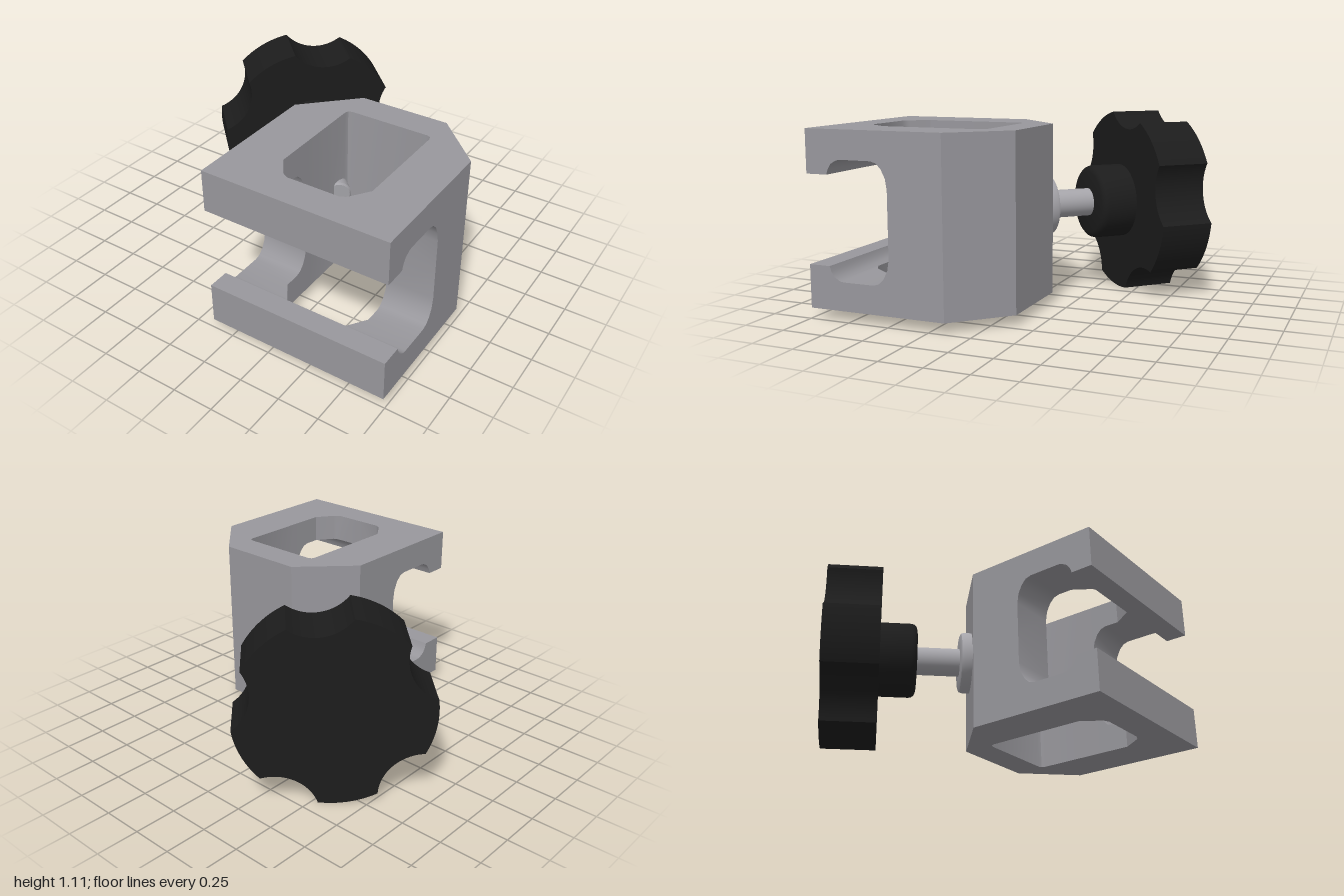
import * as THREE from 'three';
import { toCreasedNormals } from 'three/addons/utils/BufferGeometryUtils.js';

const Y0 = 0.06, Y1 = 1.07, YC = 0.565;      // block bottom, top and middle
const XL = -0.13, XR = 0.99, XC = 0.433;     // block sides and centre of the vertical hole
const ZF = 1, ZB = -0.13;

// Inside of the block from back to front: [z, half height of side channel, half width of hole]
const ROWS = [
  [0.49, 0, 0.27], [0.49, 0.19, 0.27], [0.5, 0.25, 0.27], [0.525, 0.3, 0.27], [0.555, 0.33, 0.27],
  [0.59, 0.34, 0.27], [0.68, 0.34, 0.27], [0.78, 0.34, 0.2], [0.795, 0.338, 0.187], [0.81, 0.333, 0.155],
  [0.81, 0.333, 0], [0.84, 0.315, 0], [0.86, 0.285, 0], [0.87, 0.255, 0], [1, 0.255, 0],
];

const HOLE_BACK = [
  [XC - 0.27, 0.49], [XC - 0.27, 0.08], [XC - 0.262, 0.058], [XC - 0.24, 0.05],
  [XC + 0.24, 0.05], [XC + 0.262, 0.058], [XC + 0.27, 0.08], [XC + 0.27, 0.49],
];
const OUTLINE = [[XL, ZF], [XR, ZF], [XR, 0.16], [0.7, ZB], [0.16, ZB], [XL, 0.16]];

function quadBuilder() {
  const pos = [];
  return {
    add(a, b, c, d, flip) {
      const q = flip ? [a, d, c, a, c, b] : [a, b, c, a, c, d];
      q.forEach((p) => pos.push(...p));
    },
    // upright quad between two [x, z] points
    wall(p, q, y0, y1) {
      this.add([p[0], y0, p[1]], [q[0], y0, q[1]], [q[0], y1, q[1]], [p[0], y1, p[1]]);
    },
    build() {
      const g = new THREE.BufferGeometry();
      g.setAttribute('position', new THREE.Float32BufferAttribute(pos, 3));
      return toCreasedNormals(g, 0.55);
    },
  };
}

function flatFace(points, sx, sy, hole) {
  const vec = (list) => list.map(([a, b]) => new THREE.Vector2(a * sx, b * sy));
  const shape = new THREE.Shape(vec(points));
  if (hole) shape.holes.push(new THREE.Path(vec(hole)));
  return new THREE.ShapeGeometry(shape);
}

function makeBlock(material) {
  const block = new THREE.Group();
  block.name = 'clampBlock';
  const add = (name, geometry) => {
    const m = new THREE.Mesh(geometry, material);
    m.name = name;
    block.add(m);
  };

  // top and bottom faces, pierced by the vertical hole
  const sideRows = ROWS.filter((r) => r[2] > 0 && r[0] > 0.49);
  const hole = [
    ...HOLE_BACK,
    ...sideRows.map((r) => [XC + r[2], r[0]]),
    ...sideRows.slice().reverse().map((r) => [XC - r[2], r[0]]),
  ];
  add('topFace', flatFace(OUTLINE, 1, -1, hole).rotateX(-Math.PI / 2).translate(0, Y1, 0));
  add('bottomFace', flatFace(OUTLINE, 1, 1, hole).rotateX(Math.PI / 2).translate(0, Y0, 0));

  // side faces with the channel mouth cut out
  const side = [
    [ZF, Y0], [0.16, Y0], [0.16, Y1], [ZF, Y1],
    ...ROWS.slice(1).reverse().map((r) => [r[0], YC + r[1]]),
    ...ROWS.slice(1).map((r) => [r[0], YC - r[1]]),
  ];
  add('leftFace', flatFace(side, -1, 1).rotateY(Math.PI / 2).translate(XR, 0, 0));
  add('rightFace', flatFace(side, 1, 1).rotateY(-Math.PI / 2).translate(XL, 0, 0));

  // back and front outer walls
  const outer = quadBuilder();
  for (let i = 2; i < 5; i++) outer.wall(OUTLINE[i], OUTLINE[i + 1], Y0, Y1);
  outer.wall(OUTLINE[0], OUTLINE[1], Y0, YC - 0.255);
  outer.wall(OUTLINE[0], OUTLINE[1], YC + 0.255, Y1);
  add('outerWalls', outer.build());

  // channel surface and hole walls
  const channel = quadBuilder(), bore = quadBuilder();
  for (let i = 0; i < HOLE_BACK.length - 1; i++) bore.wall(HOLE_BACK[i], HOLE_BACK[i + 1], Y0, Y1);
  for (let i = 0; i < ROWS.length - 1; i++) {
    const [z0, h0, w0] = ROWS[i], [z1, h1, w1] = ROWS[i + 1];
    for (const s of [1, -1]) for (const t of [1, -1]) {
      const ya = YC + s * h0, yb = YC + s * h1, yo = s > 0 ? Y1 : Y0;
      const xa = XC + t * w0, xb = XC + t * w1, xo = t > 0 ? XR : XL;
      if (z0 !== z1 || h0 !== h1) {
        channel.add([xo, ya, z0], [xa, ya, z0], [xb, yb, z1], [xo, yb, z1], s * t > 0);
      }
      if ((w0 > 0 || w1 > 0) && (z0 !== z1 || w0 !== w1)) {
        bore.add([xa, ya, z0], [xb, yb, z1], [xb, yo, z1], [xa, yo, z0], s * t < 0);
      }
    }
  }
  add('sideChannel', channel.build());
  add('verticalHole', bore.build());
  return block;
}

// turned part along local z from [radius, distance] points
function turned(name, points, material) {
  const g = new THREE.LatheGeometry(points.map(([r, u]) => new THREE.Vector2(r, u)), 48);
  const mesh = new THREE.Mesh(toCreasedNormals(g.rotateX(Math.PI / 2), 0.6), material);
  mesh.name = name;
  return mesh;
}

// five-lobed grip
function makeGrip(material) {
  const R = 0.56, half = 0.323, scallopR = 0.26, scallopD = 0.72, sweep = 0.755;
  const shape = new THREE.Shape();
  for (let k = 0; k < 5; k++) {
    const c = THREE.MathUtils.degToRad(26 + 72 * k);
    shape.absarc(Math.cos(c) * scallopD, Math.sin(c) * scallopD, scallopR,
      c + Math.PI + sweep, c + Math.PI - sweep, true);
    shape.absarc(0, 0, R, c + half, c + Math.PI * 0.4 - half, false);
  }
  const g = new THREE.ExtrudeGeometry(shape, { depth: 0.326, bevelEnabled: false, curveSegments: 14 });
  const mesh = new THREE.Mesh(toCreasedNormals(g, 0.5), material);
  mesh.name = 'knobGrip';
  mesh.position.z = 0.53;
  return mesh;
}

export function createModel() {
  const grey = new THREE.MeshStandardMaterial({ color: 0x98979c });
  grey.name = 'blockGrey';
  const steel = new THREE.MeshStandardMaterial({ color: 0xa5a4a9 });
  steel.name = 'screwSteel';
  const black = new THREE.MeshStandardMaterial({ color: 0x1c1c1c });
  black.name = 'knobBlack';

  const model = new THREE.Group();
  model.name = 'clamp';
  model.add(makeBlock(grey));

  // thumbscrew set square to the chamfered back corner
  const screw = new THREE.Group();
  screw.name = 'thumbScrew';
  screw.position.y = 0.56;
  screw.rotation.y = -Math.PI * 0.75;
  screw.add(
    turned('screwShaft', [[0, -0.25], [0.075, -0.25], [0.085, -0.24], [0.085, 0.33]], steel),
    turned('collar', [[0.08, -0.022], [0.185, -0.022], [0.185, 0.025], [0.179, 0.04],
      [0.165, 0.046], [0.08, 0.046]], steel),
    turned('knobHub', [[0, 0.308], [0.19, 0.308], [0.208, 0.314], [0.221, 0.327],
      [0.226, 0.345], [0.226, 0.53]], black),
    makeGrip(black),
  );
  model.add(screw);
  return model;
}
